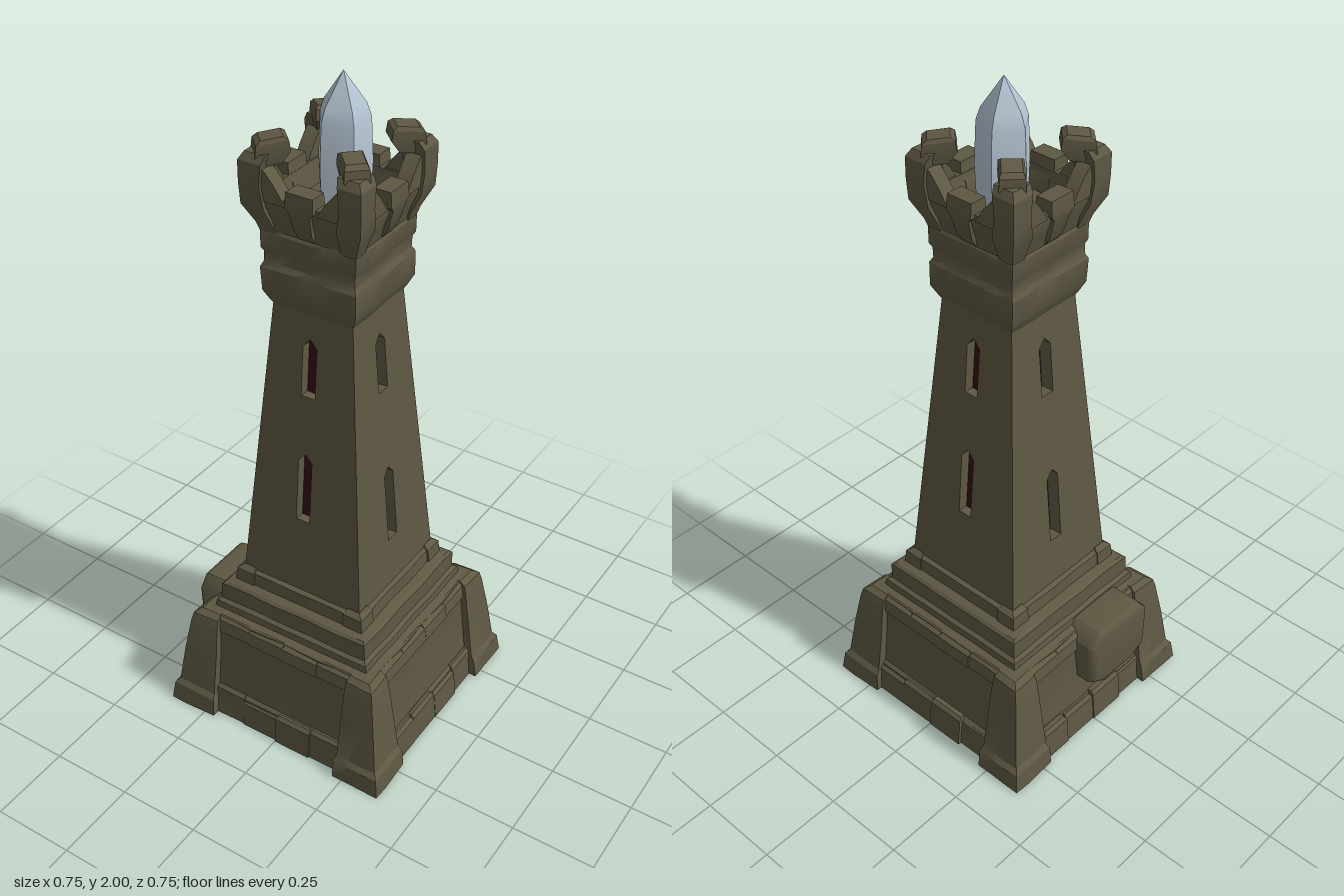
import * as THREE from 'three';
import { toCreasedNormals } from 'three/addons/utils/BufferGeometryUtils.js';

const stone = new THREE.MeshStandardMaterial({ color: 0x5e5843 });
stone.name = 'weathered stone';
const crystalBlue = new THREE.MeshStandardMaterial({ color: 0xb6c6d4 });
crystalBlue.name = 'pale crystal';
const darkRed = new THREE.MeshStandardMaterial({ color: 0x34100f });
darkRed.name = 'dark window';

let seed = 7;
const rand = () => (seed = (seed * 16807) % 2147483647) / 2147483647;

function add(parent, name, geometry, material, crease = 0.5) {
  const mesh = new THREE.Mesh(toCreasedNormals(geometry, crease), material);
  mesh.name = name;
  parent.add(mesh);
  return mesh;
}

// Stacked rectangles [y, x0, x1, z0, z1], capped, with slightly uneven faces
function loft(rows, n = 1, rough = 0) {
  const pos = [], index = [], ring = 4 * n;
  const push = (x, y, z) => {
    const k = 1 + rough * Math.sin(x * 31 + y * 23) * Math.cos(z * 29 - y * 17);
    pos.push(x * k, y, z * k);
  };
  for (const [y, x0, x1, z0, z1] of rows) {
    const c = [[x1, z1], [x1, z0], [x0, z0], [x0, z1]];
    for (let s = 0; s < 4; s++) {
      const a = c[s], b = c[(s + 1) % 4];
      for (let i = 0; i < n; i++) {
        const t = i / n;
        push(a[0] + (b[0] - a[0]) * t, y, a[1] + (b[1] - a[1]) * t);
      }
    }
  }
  const last = rows.length - 1;
  for (const j of [0, last]) {
    const [y, x0, x1, z0, z1] = rows[j];
    pos.push((x0 + x1) / 2, y, (z0 + z1) / 2);
  }
  const bottom = rows.length * ring, top = bottom + 1;
  for (let i = 0; i < ring; i++) {
    const k = (i + 1) % ring;
    for (let j = 0; j < last; j++) {
      const a = j * ring + i, b = j * ring + k;
      index.push(a, b, b + ring, a, b + ring, a + ring);
    }
    index.push(bottom, k, i, top, last * ring + i, last * ring + k);
  }
  const g = new THREE.BufferGeometry();
  g.setAttribute('position', new THREE.Float32BufferAttribute(pos, 3));
  g.setIndex(index);
  return g;
}

const square = (rows) => rows.map(([y, h]) => [y, -h, h, -h, h]);
const corner = (rows) => rows.map(([y, a, b]) => [y, a, b, a, b]);

function polygon(points, Type = THREE.Shape) {
  return new Type(points.map(([x, y]) => new THREE.Vector2(x, y)));
}

// Pointed slit outline
const slit = (b, t) => [[-0.026, b], [0.018, b], [0.018, t - 0.025], [-0.004, t], [-0.026, t - 0.025]];

// One sloping shaft wall with two recessed slits
function shaftWall(side, windows, depth) {
  const wall = new THREE.Group();
  wall.name = 'shaftWall';
  wall.position.set(0, 0.48, 0.2);
  wall.rotation.x = -Math.atan(0.077 / 0.91);
  side.add(wall);
  const shape = polygon([[-0.2, 0], [0.2, 0], [0.123, 0.913], [-0.123, 0.913]]);
  for (const [b, t] of windows) shape.holes.push(polygon(slit(b - 0.48, t - 0.48), THREE.Path));
  const g = new THREE.ExtrudeGeometry(shape, { depth: 0.06, bevelEnabled: false });
  add(wall, 'shaftStone', g.translate(0, 0, -0.06), stone);
  for (const [b, t] of windows) {
    const pane = add(wall, 'windowSlit', new THREE.PlaneGeometry(0.054, t - b + 0.01), darkRed);
    pane.position.set(-0.004, (b + t) / 2 - 0.48, -depth);
  }
}

export function createModel() {
  const tower = new THREE.Group();
  tower.name = 'tower';

  // Stepped base
  add(tower, 'base', loft(square([
    [0, 0.345], [0.09, 0.332], [0.1, 0.322], [0.28, 0.3], [0.3, 0.302], [0.345, 0.29],
    [0.352, 0.265], [0.372, 0.262], [0.38, 0.25], [0.432, 0.248], [0.44, 0.24],
    [0.446, 0.216], [0.485, 0.212], [0.495, 0.19],
  ]), 10, 0.008), stone);

  // Moulded neck below the crown
  add(tower, 'neck', loft(square([
    [1.37, 0.122], [1.385, 0.13], [1.415, 0.144], [1.485, 0.146], [1.5, 0.138], [1.53, 0.138],
    [1.542, 0.144], [1.59, 0.146], [1.605, 0.138], [1.64, 0.14],
  ]), 6, 0.015), stone);

  for (let q = 0; q < 4; q++) {
    const side = new THREE.Group();
    side.name = 'side' + (q + 1);
    side.rotation.y = q * Math.PI / 2;
    tower.add(side);

    const lower = q % 2 ? [0.64, 0.88] : [0.73, 0.95];
    shaftWall(side, [lower, [1.13, 1.305]], q % 2 ? 0.04 : 0.03);

    // Uneven stone courses between the buttresses
    for (let i = 0; i < 4; i++) {
      const x = -0.24 + i * 0.12, out = rand() * 0.012, h = 0.085 + rand() * 0.02;
      add(side, 'footingStone', loft([
        [0, x, x + 0.12, 0.28, 0.343 + out],
        [h - 0.01, x, x + 0.12, 0.28, 0.335 + out],
        [h, x + 0.004, x + 0.116, 0.28, 0.325 + out],
      ]), stone);
      add(side, 'copingStone', loft([
        [0.295, x, x + 0.12, 0.26, 0.304 + out / 2],
        [0.335, x, x + 0.12, 0.26, 0.298 + out / 2],
        [0.347, x + 0.004, x + 0.116, 0.26, 0.285],
      ]), stone);
    }

    // Corner buttress with a heavier foot
    add(side, 'buttress', loft(corner([
      [0, 0.218, 0.371], [0.06, 0.218, 0.364], [0.075, 0.222, 0.352], [0.2, 0.224, 0.334],
      [0.31, 0.226, 0.317], [0.335, 0.228, 0.31], [0.348, 0.23, 0.292],
    ]), 3, 0.008), stone);
    add(side, 'shaftFoot', loft(corner([[0.43, 0.155, 0.221], [0.485, 0.155, 0.216], [0.498, 0.16, 0.2]])), stone);

    // Parapet wall with a corbelled middle block
    add(side, 'parapet', loft([
      [1.59, -0.12, 0.12, 0.1, 0.14], [1.63, -0.125, 0.125, 0.11, 0.15],
      [1.675, -0.13, 0.13, 0.12, 0.168], [1.705, -0.13, 0.13, 0.125, 0.168],
    ]), stone);
    add(side, 'middleMerlon', loft([
      [1.6, -0.024, 0.024, 0.11, 0.146], [1.625, -0.026, 0.026, 0.11, 0.162],
      [1.685, -0.032, 0.032, 0.12, 0.18], [1.695, -0.042, 0.042, 0.125, 0.182],
      [1.738, -0.04, 0.04, 0.128, 0.178],
    ]), stone);
    for (const s of [-1, 1]) {
      const ramp = polygon([[s * 0.045, 1.69], [s * 0.13, 1.69], [s * 0.13, 1.785], [s * 0.105, 1.77], [s * 0.075, 1.735]]);
      const g = new THREE.ExtrudeGeometry(ramp, { depth: 0.042, bevelEnabled: false });
      add(side, 'parapetRamp', g.translate(0, 0, 0.13), stone);
    }

    // Corner claw flaring outward, with a cap hooked inward
    add(side, 'cornerClaw', loft(corner([
      [1.58, 0.1, 0.142], [1.615, 0.1, 0.152], [1.67, 0.108, 0.178], [1.73, 0.118, 0.181],
      [1.79, 0.112, 0.181], [1.812, 0.105, 0.168],
    ])), stone);
    const cap = add(side, 'clawCap', loft([
      [-0.035, -0.028, 0.028, -0.02, 0.045], [-0.005, -0.033, 0.033, -0.046, 0.045],
      [0.024, -0.032, 0.032, -0.045, 0.038], [0.034, -0.026, 0.026, -0.034, 0.024],
    ]), stone);
    cap.position.set(0.122, 1.814, 0.122);
    cap.rotation.set(0.12, Math.PI / 4, 0, 'YXZ');
  }

  // Rounded slab leaning on one face of the base
  const slab = polygon([
    [-0.02, 0.2], [0.02, 0.175], [0.15, 0.175], [0.19, 0.2], [0.195, 0.32], [0.17, 0.35], [0.01, 0.35], [-0.02, 0.32],
  ]);
  const slabGeo = new THREE.ExtrudeGeometry(slab, {
    depth: 0.1, bevelThickness: 0.022, bevelSize: 0.018, bevelSegments: 3,
  });
  add(tower, 'leaningSlab', slabGeo.rotateY(-Math.PI / 2).translate(-0.25, 0, 0), stone, 0.8);

  // Five-sided crystal on top
  const profile = [[0, 1.6], [0.068, 1.6], [0.075, 1.76], [0.07, 1.88], [0.058, 1.915], [0, 2]];
  const crystal = add(tower, 'crystal', new THREE.LatheGeometry(
    profile.map(([r, y]) => new THREE.Vector2(r, y)), 5, -Math.PI / 2), crystalBlue, 0.6);
  crystal.position.set(0.008, 0, -0.008);
  return tower;
}
